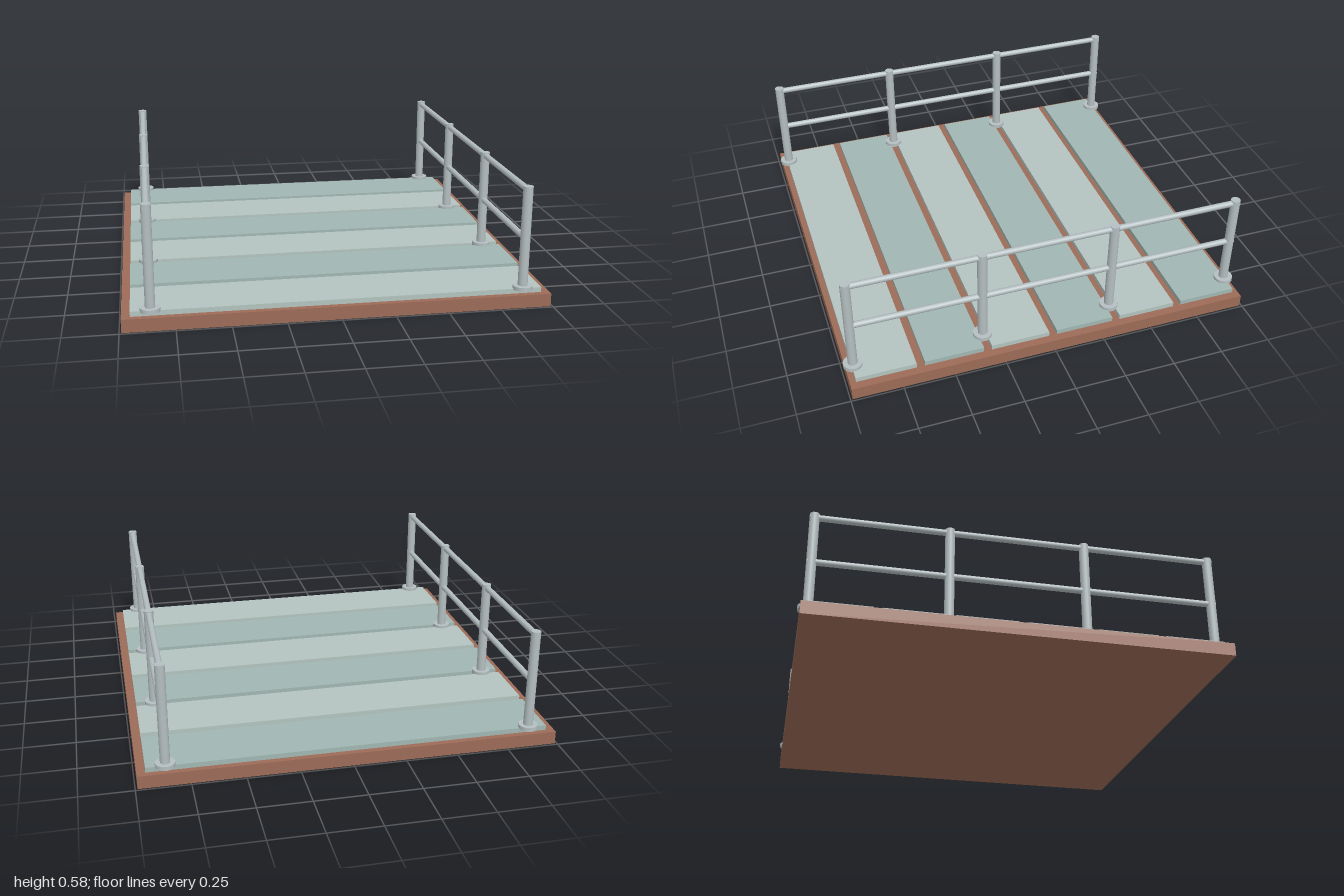
import * as THREE from 'three';

export function createModel() {
  const model = new THREE.Group();
  model.name = 'railedDeck';
  const wood = new THREE.MeshStandardMaterial({ color: 0x9c6b57 });
  const plankDark = new THREE.MeshStandardMaterial({ color: 0xa0b6b2 });
  const plankLight = new THREE.MeshStandardMaterial({ color: 0xb3c3bf });
  const metal = new THREE.MeshStandardMaterial({ color: 0xb4bec0 });

  const add = (parent, name, geometry, material, x, y, z) => {
    const mesh = new THREE.Mesh(geometry, material);
    mesh.name = name;
    mesh.position.set(x, y, z);
    parent.add(mesh);
    return mesh;
  };

  // Base slab
  add(model, 'base', new THREE.BoxGeometry(1.98, 0.063, 1.98), wood, 0, 0.0315, 0);

  // Six deck planks in alternating tones, separated by narrow gaps
  const plankGeo = new THREE.BoxGeometry(1.9, 0.025, 0.288);
  for (let i = 0; i < 6; i++) {
    add(model, 'plank', plankGeo, i % 2 ? plankLight : plankDark, 0, 0.0745, (i - 2.5) * 0.327);
  }

  // Railings: four flanged posts and two horizontal rails per side
  const flangeGeo = new THREE.CylinderGeometry(0.046, 0.046, 0.02, 16);
  const postGeo = new THREE.CylinderGeometry(0.023, 0.023, 0.498, 16);
  const railGeo = new THREE.CylinderGeometry(0.015, 0.015, 1.948, 16).rotateX(Math.PI / 2);
  for (const side of [1, -1]) {
    const railing = new THREE.Group();
    railing.name = side > 0 ? 'leftRailing' : 'rightRailing';
    railing.position.x = side * 0.86;
    for (const z of [-0.954, -0.325, 0.325, 0.954]) {
      add(railing, 'postFlange', flangeGeo, metal, 0, 0.092, z);
      add(railing, 'post', postGeo, metal, 0, 0.332, z);
    }
    add(railing, 'topRail', railGeo, metal, 0, 0.563, 0);
    add(railing, 'middleRail', railGeo, metal, 0, 0.33, 0);
    model.add(railing);
  }
  return model;
}
